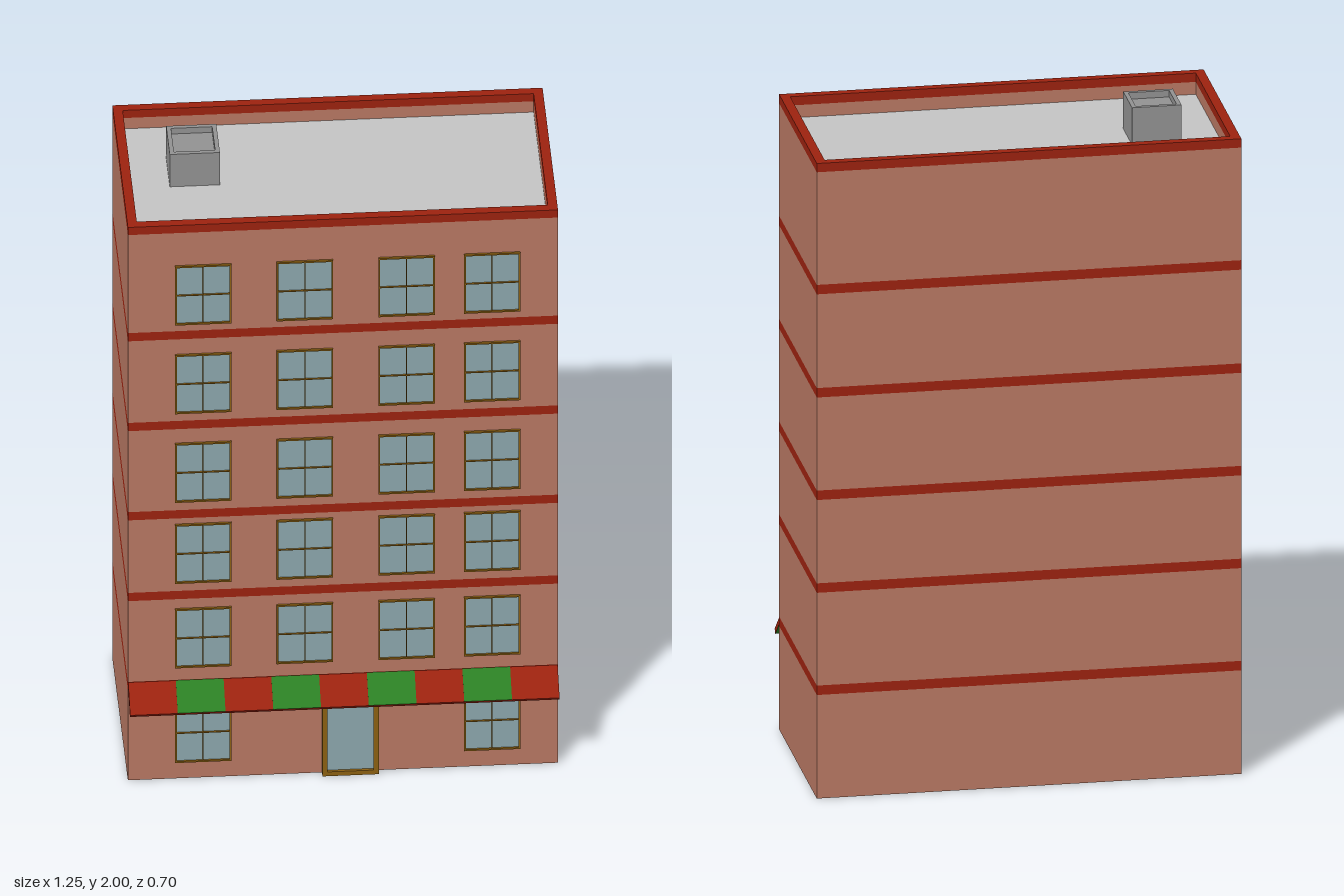
import * as THREE from 'three';

const mat = (name, color, side = THREE.FrontSide) => {
  const m = new THREE.MeshStandardMaterial({ color, side });
  m.name = name;
  return m;
};

export function createModel() {
  const brick = mat('brick', 0xb87863);
  const red = mat('red trim', 0x9c220f);
  const green = mat('green canvas', 0x2c8024);
  const roofGrey = mat('roof grey', 0xc4c4c4);
  const ventGrey = mat('vent grey', 0x929292);
  const glass = mat('glass', 0x8ca7ad);
  const wood = mat('wood', 0x8c6012);

  const model = new THREE.Group();
  model.name = 'building';

  const W = 1.252, D = 0.625, ZC = -0.0425, FRONT = 0.27;
  const PARAPET = 0.028, ROOF_Y = 1.885;

  const add = (parent, name, geo, material, x = 0, y = 0, z = 0) => {
    const mesh = new THREE.Mesh(geo, material);
    mesh.name = name;
    mesh.position.set(x, y, z);
    parent.add(mesh);
    return mesh;
  };

  // Rectangular ring extruded along +z, centred in x and y
  const frameGeo = (w, h, t, depth) => {
    const rect = (Type, a, b) => new Type([
      new THREE.Vector2(-a / 2, -b / 2), new THREE.Vector2(a / 2, -b / 2),
      new THREE.Vector2(a / 2, b / 2), new THREE.Vector2(-a / 2, b / 2)]);
    const shape = rect(THREE.Shape, w, h);
    shape.holes.push(rect(THREE.Path, w - 2 * t, h - 2 * t));
    return new THREE.ExtrudeGeometry(shape, { depth, bevelEnabled: false });
  };
  // The same ring lying flat, rising along +y
  const ringGeo = (w, d, t, h) => frameGeo(w, d, t, h).rotateX(-Math.PI / 2);

  // Outer walls: brick storeys with flush red bands, no inner caps
  const wallGeo = (h) => {
    const g = new THREE.BoxGeometry(W, h, D);
    const idx = Array.from(g.index.array);
    g.setIndex([...idx.slice(0, 12), ...idx.slice(24, 36)]);
    g.clearGroups();
    return g;
  };
  const wall = (name, y0, y1, m) => add(model, name, wallGeo(y1 - y0), m, 0, (y0 + y1) / 2, ZC);
  let base = 0;
  for (const y of [0.318, 0.632, 0.917, 1.232, 1.549]) {
    wall('storeyWall', base, y, brick);
    wall('storeyBand', y, y + 0.029, red);
    base = y + 0.029;
  }
  wall('storeyWall', base, ROOF_Y, brick);
  add(model, 'underside', new THREE.PlaneGeometry(W, D).rotateX(Math.PI / 2), brick, 0, 0, ZC);

  // Roof, parapet and red coping
  add(model, 'parapet', ringGeo(W, D, PARAPET, 1.924 - ROOF_Y), brick, 0, ROOF_Y, ZC);
  add(model, 'coping', ringGeo(W, D, PARAPET, 0.027), red, 0, 1.924, ZC);
  add(model, 'roof', new THREE.PlaneGeometry(W - 0.05, D - 0.05).rotateX(-Math.PI / 2),
    roofGrey, 0, ROOF_Y + 0.001, ZC);

  // Roof vent with a shallow recess
  const vent = new THREE.Group();
  vent.name = 'roofVent';
  vent.position.set(-0.41, ROOF_Y, -0.095);
  model.add(vent);
  add(vent, 'ventWall', ringGeo(0.146, 0.146, 0.013, 2 - ROOF_Y), ventGrey);
  add(vent, 'ventFloor', new THREE.PlaneGeometry(0.122, 0.122).rotateX(-Math.PI / 2),
    ventGrey, 0, 0.095, 0);

  // Windows: frame, pane and thin glazing bars
  const WW = 0.164, WH = 0.207;
  const parts = [
    ['windowFrame', frameGeo(WW, WH, 0.005, 0.007), wood, 0],
    ['windowPane', new THREE.PlaneGeometry(WW - 0.006, WH - 0.006), glass, 0.0015],
    ['verticalBar', new THREE.BoxGeometry(0.0025, WH - 0.01, 0.007), wood, 0.0035],
    ['horizontalBar', new THREE.BoxGeometry(WW - 0.01, 0.0025, 0.007), wood, 0.0035],
  ];
  const addWindow = (x, y) => {
    const w = new THREE.Group();
    w.name = 'window';
    w.position.set(x, y, FRONT);
    for (const [name, geo, m, z] of parts) add(w, name, geo, m, 0, 0, z);
    model.add(w);
  };
  const columns = [-0.407, -0.111, 0.185, 0.434];
  for (const y of [0.496, 0.794, 1.08, 1.393, 1.706]) {
    for (const x of columns) addWindow(x, y);
  }
  addWindow(columns[0], 0.162);
  addWindow(columns[3], 0.162);

  // Door
  const door = new THREE.Group();
  door.name = 'door';
  door.position.set(0.021, 0.136, FRONT);
  model.add(door);
  add(door, 'doorFrame', frameGeo(0.164, 0.272, 0.015, 0.021), wood);
  add(door, 'doorPane', new THREE.PlaneGeometry(0.136, 0.244), glass, 0, 0, 0.012);

  // Sloping awning: red slab with green underside and green stripes on top
  const awning = new THREE.Group();
  awning.name = 'awning';
  awning.position.set(0, 0.345, FRONT);
  awning.rotation.x = Math.atan2(0.068, 0.085);
  model.add(awning);
  const LEN = 0.1;
  add(awning, 'awningSlab', new THREE.BoxGeometry(1.25, 0.016, LEN),
    [red, red, red, green, red, red], 0, -0.008, LEN / 2);
  for (const x of [-0.417, -0.139, 0.139, 0.417]) {
    add(awning, 'awningStripe', new THREE.BoxGeometry(0.139, 0.002, LEN), green, x, 0.001, LEN / 2);
  }
  return model;
}
